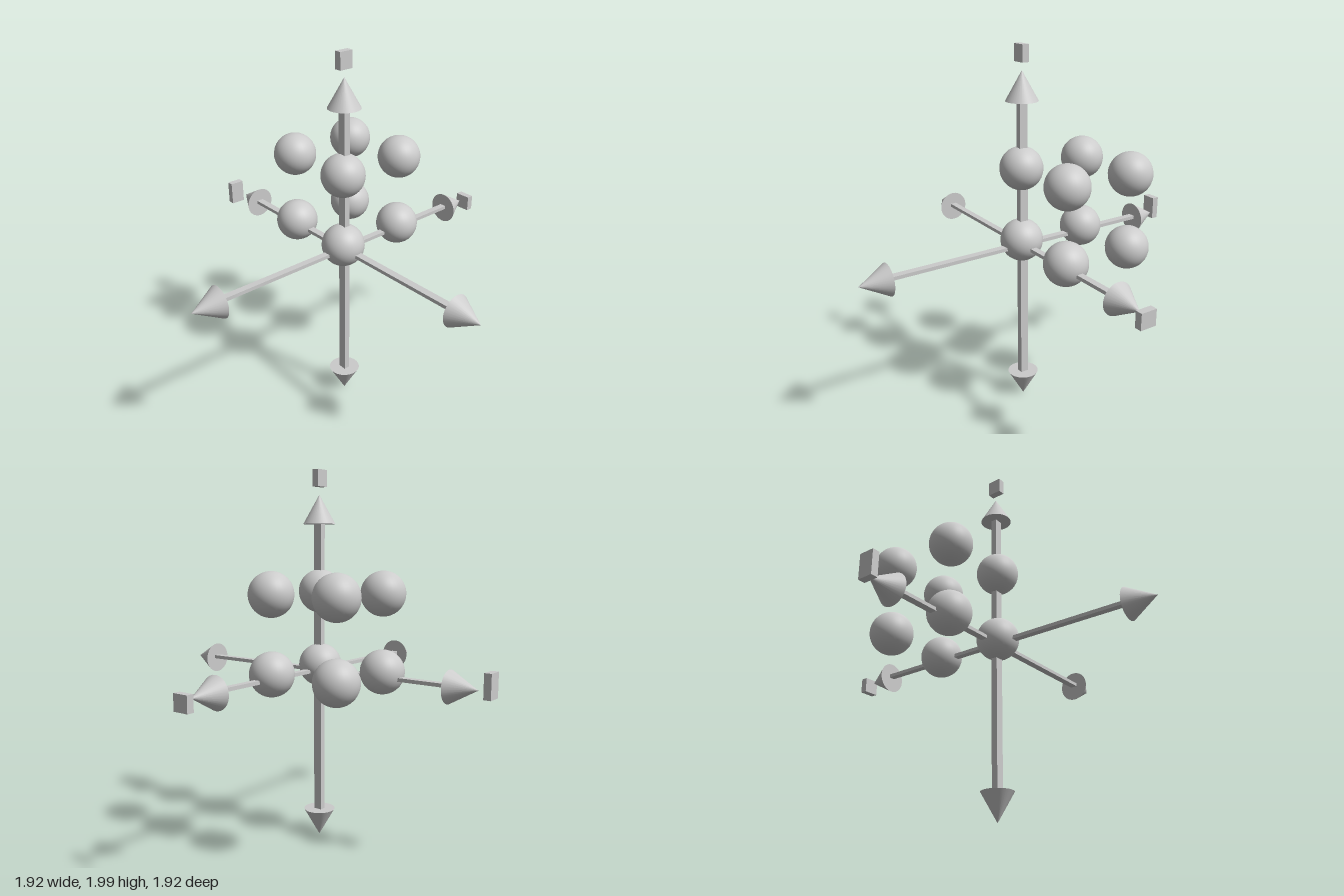
import * as THREE from 'three';

const CENTRE = new THREE.Vector3(-0.03, 0.94, 0.03);
const REACH = 0.932;       // centre to arrow tip
const HEAD_LENGTH = 0.151;
const HEAD_RADIUS = 0.085;
const SPACING = 0.398;     // between neighbouring balls

export function createModel() {
  const model = new THREE.Group();
  model.name = 'axisGizmo';
  const material = new THREE.MeshStandardMaterial({ color: 0xcccccc });

  const add = (name, geometry, x, y, z) => {
    const mesh = new THREE.Mesh(geometry, material);
    mesh.name = name;
    mesh.position.set(x, y, z);
    model.add(mesh);
    return mesh;
  };

  // Square-edged shafts running through the centre
  const shaft = 2 * (REACH - HEAD_LENGTH);
  add('sideShaft', new THREE.BoxGeometry(shaft, 0.019, 0.036), CENTRE.x, 0.948, CENTRE.z);
  add('verticalShaft', new THREE.BoxGeometry(0.034, shaft, 0.046), CENTRE.x, CENTRE.y, CENTRE.z);
  add('depthShaft', new THREE.BoxGeometry(0.04, 0.019, shaft), CENTRE.x, 0.946, CENTRE.z);

  // Cone arrowheads at both ends of every shaft
  const headGeometry = new THREE.ConeGeometry(HEAD_RADIUS, HEAD_LENGTH, 32);
  const up = new THREE.Vector3(0, 1, 0);
  const ends = {
    left: [1, 0, 0], right: [-1, 0, 0],
    top: [0, 1, 0], bottom: [0, -1, 0],
    front: [0, 0, 1], back: [0, 0, -1],
  };
  for (const [end, axis] of Object.entries(ends)) {
    const direction = new THREE.Vector3(...axis);
    const p = CENTRE.clone().addScaledVector(direction, REACH - HEAD_LENGTH / 2);
    add(`${end}Arrowhead`, headGeometry, p.x, p.y, p.z)
      .quaternion.setFromUnitVectors(up, direction);
  }

  // Eight balls on the corners of a cube
  const ballGeometry = new THREE.SphereGeometry(0.115, 32, 24);
  for (const i of [0, 1])
    for (const j of [0, 1])
      for (const k of [0, 1])
        add('cornerBall', ballGeometry,
          -0.038 + i * SPACING, 0.972 + j * SPACING, 0.03 - k * SPACING);

  // Plain end plates marking the three positive directions
  add('topMarker', new THREE.BoxGeometry(0.076, 0.087, 0.038), -0.033, 1.9565, 0.03);
  add('leftMarker', new THREE.BoxGeometry(0.038, 0.084, 0.088), 0.944, 0.927, 0.032);
  add('backMarker', new THREE.BoxGeometry(0.08, 0.128, 0.038), -0.074, 0.961, -0.944);

  return model;
}
